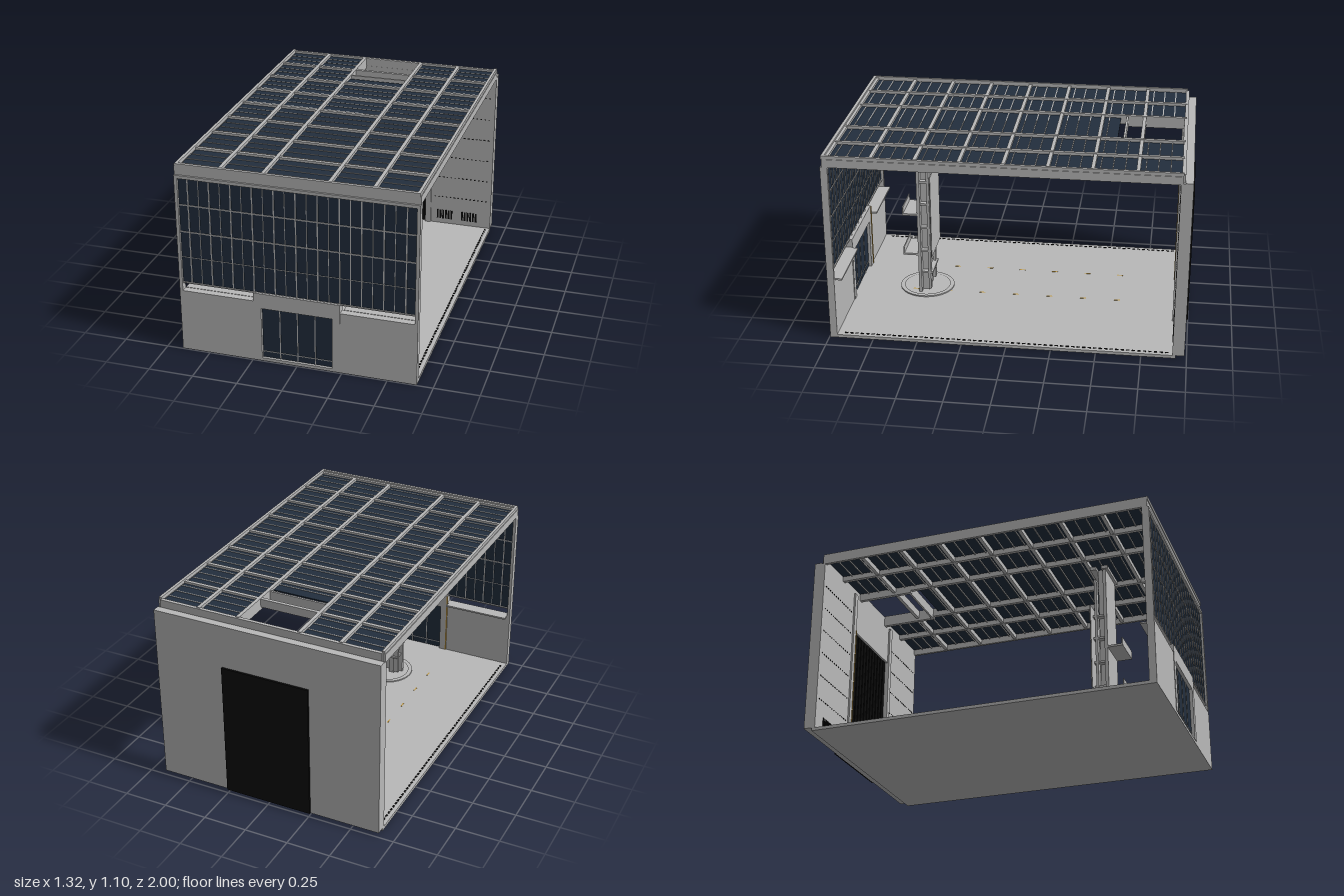
import * as THREE from 'three';

export function createModel() {
  const root = new THREE.Group();
  root.name = 'solarShelter';
  const mat = (name, color) => {
    const m = new THREE.MeshStandardMaterial({ color });
    m.name = name;
    return m;
  };
  const grey = mat('lightGrey', 0xb8b8b8);
  const navy = mat('navyPanel', 0x222e3d);
  const black = mat('black', 0x0a0a0a);
  const tan = mat('tan', 0xc09a48);

  const group = (name) => {
    const g = new THREE.Group();
    g.name = name;
    root.add(g);
    return g;
  };
  // Box given by its limits on each axis
  const box = (parent, name, m, x0, x1, y0, y1, z0, z1) => {
    const mesh = new THREE.Mesh(new THREE.BoxGeometry(x1 - x0, y1 - y0, z1 - z0), m);
    mesh.position.set((x0 + x1) / 2, (y0 + y1) / 2, (z0 + z1) / 2);
    mesh.name = name;
    parent.add(mesh);
    return mesh;
  };
  // The same box on both sides of x = 0
  const pair = (parent, name, m, x0, x1, y0, y1, z0, z1) => {
    box(parent, name + 'Left', m, x0, x1, y0, y1, z0, z1);
    box(parent, name + 'Right', m, -x1, -x0, y0, y1, z0, z1);
  };

  // Floor slab with drain slots along the sides and small tan markers
  const floor = group('floor');
  box(floor, 'floorSlab', grey, -0.66, 0.66, 0, 0.018, -0.94, 0.985);
  for (let i = 0; i < 60; i++) {
    const z = -0.9 + i * 0.0305;
    pair(floor, 'drainSlot', black, 0.628, 0.638, 0.016, 0.02, z, z + 0.018);
  }
  for (const x of [-0.26, 0.06]) {
    for (let i = 0; i < 7; i++) {
      const z = -0.6 + i * 0.2;
      box(floor, 'floorMarker', tan, x - 0.004, x + 0.004, 0.016, 0.0195, z, z + 0.035);
    }
  }

  // Front wall: low side walls, door portal, corner posts and a head rail
  const front = group('frontWall');
  box(front, 'frontSill', grey, -0.66, 0.66, 0, 0.018, 0.95, 0.995);
  pair(front, 'lowWall', grey, 0.24, 0.645, 0.018, 0.36, 0.955, 0.995);
  pair(front, 'cornerPost', grey, 0.642, 0.66, 0.018, 1.036, 0.955, 0.995);
  pair(front, 'doorJamb', grey, 0.197, 0.24, 0.018, 0.41, 0.95, 0.998);
  box(front, 'doorLintel', grey, -0.197, 0.197, 0.322, 0.41, 0.95, 0.998);
  box(front, 'headRail', grey, -0.645, 0.645, 1.018, 1.036, 0.955, 0.995);
  pair(front, 'innerSill', grey, 0.25, 0.64, 0.352, 0.362, 0.915, 0.955);
  box(front, 'doorTrim', tan, -0.243, -0.237, 0.02, 0.405, 0.945, 0.953);

  // Sliding front door with four leaves
  const door = group('frontDoor');
  box(door, 'doorLeaves', navy, -0.197, 0.197, 0.018, 0.322, 0.968, 0.98);
  for (const z of [0.965, 0.98]) {
    for (const x of [-0.098, 0, 0.098]) {
      box(door, 'leafDivider', grey, x - 0.0025, x + 0.0025, 0.018, 0.322, z, z + 0.003);
    }
    box(door, 'leafRail', grey, -0.197, 0.197, 0.052, 0.056, z, z + 0.003);
  }

  // Front screen of tall dark slats
  const screen = group('frontScreen');
  box(screen, 'screenPanel', navy, -0.642, 0.642, 0.41, 1.018, 0.972, 0.982);
  for (const z of [0.968, 0.982]) {
    for (let k = -10; k <= 10; k++) {
      const w = k % 2 ? 0.0015 : 0.003;
      box(screen, 'slatBar', grey, k * 0.059 - w, k * 0.059 + w, 0.41, 1.018, z, z + 0.004);
    }
    for (const y of [0.71, 0.865]) {
      box(screen, 'crossBar', grey, -0.642, 0.642, y - 0.003, y + 0.003, z, z + 0.004);
    }
    box(screen, 'thinCrossBar', grey, -0.642, 0.642, 0.559, 0.561, z, z + 0.004);
  }
  box(screen, 'screenBottomRail', grey, -0.642, 0.642, 0.404, 0.411, 0.965, 0.988);

  // Back wall: outer skin, inner panels, slatted doorway and outer door
  const back = group('backWall');
  box(back, 'outerSkin', grey, -0.66, 0.66, 0.018, 1.046, -0.988, -0.945);
  pair(back, 'innerPanel', grey, 0.25, 0.66, 0.018, 1.04, -0.945, -0.922);
  box(back, 'innerLintel', grey, -0.25, 0.25, 0.8, 1.04, -0.945, -0.922);
  pair(back, 'innerJamb', grey, 0.235, 0.27, 0.018, 1.036, -0.945, -0.912);
  box(back, 'jambTrim', tan, -0.243, -0.236, 0.018, 0.8, -0.93, -0.909);
  for (let i = 0; i < 12; i++) {
    const x = -0.232 + i * 0.039;
    box(back, 'doorSlat', black, x, x + 0.03, 0.018, 0.8, -0.945, -0.934);
  }
  box(back, 'outerDoor', black, -0.255, 0.255, 0.02, 0.8, -1, -0.988);
  for (let row = 0; row < 6; row++) {
    for (let i = 0; i < 14; i++) {
      const x = 0.29 + i * 0.0255, y = 0.2 + row * 0.14;
      pair(back, 'wallSlot', black, x, x + 0.01, y, y + 0.005, -0.923, -0.92);
    }
  }
  for (const x of [0.31, 0.47]) {
    for (let i = 0; i < 6; i++) {
      pair(back, 'ventSlot', black, x + i * 0.018, x + i * 0.018 + 0.011, 0.05, 0.11, -0.923, -0.919);
    }
  }

  // Roof frame: edge beams and a grid of bars
  const roof = group('roofFrame');
  pair(roof, 'sideBeam', grey, 0.645, 0.66, 1.036, 1.082, -0.935, 0.985);
  pair(roof, 'sideBeamCap', grey, 0.64, 0.656, 1.08, 1.1, -0.935, 0.99);
  box(roof, 'frontBeam', grey, -0.66, 0.66, 1.036, 1.082, 0.965, 0.985);
  box(roof, 'frontBeamCap', grey, -0.656, 0.656, 1.08, 1.1, 0.972, 0.99);
  const barX = [-0.65, -0.415, -0.18, 0.18, 0.415, 0.65];
  const barZ = (i) => -0.935 + i * 0.2375;
  for (const x of barX.slice(1, 5)) {
    box(roof, 'lengthBar', grey, x - 0.01, x + 0.01, 1.04, 1.093, -0.935, 0.965);
  }
  for (let i = 0; i <= 8; i++) {
    box(roof, 'crossBar', grey, -0.645, 0.645, 1.042, 1.09, barZ(i) - 0.01, barZ(i) + 0.01);
  }

  // Roof panels: four dark strips in each cell, split by thin bars
  const panels = group('roofPanels');
  const cuts = [0.01, 0.07, 0.135, 0.2, 0.2275];
  for (let r = 0; r < 8; r++) {
    for (let c = 0; c < 5; c++) {
      if (c === 2 && r === 0) continue;
      const x0 = barX[c] + 0.01, x1 = barX[c + 1] - 0.01;
      for (let s = 0; s < 4; s++) {
        const z0 = barZ(r) + cuts[s], z1 = barZ(r) + cuts[s + 1];
        if (c === 2 && z0 < -0.62) continue;
        box(panels, 'roofStrip', navy, x0, x1, 1.071, 1.077, z0, z1);
        if (s < 3) box(panels, 'stripBar', grey, x0, x1, 1.064, 1.08, z1 - 0.003, z1 + 0.003);
      }
    }
  }

  // Hatch frame around the roof opening
  const hatch = group('roofHatch');
  pair(hatch, 'hatchSide', grey, 0.17, 0.19, 1.026, 1.092, -0.93, -0.59);
  box(hatch, 'hatchFront', grey, -0.18, 0.18, 1.026, 1.088, -0.605, -0.593);
  box(hatch, 'hatchBack', grey, -0.18, 0.18, 1.026, 1.088, -0.935, -0.923);

  // Service column with round base ring, shelves and a display board
  const column = group('column');
  const ring = new THREE.Mesh(new THREE.RingGeometry(0.135, 0.16, 48), grey);
  ring.name = 'baseRing';
  ring.geometry.rotateX(-Math.PI / 2);
  ring.position.set(0, 0.025, 0.56);
  column.add(ring);
  const rim = new THREE.Mesh(new THREE.CylinderGeometry(0.16, 0.16, 0.007, 48, 1, true), grey);
  rim.name = 'baseRingEdge';
  rim.position.set(0, 0.0215, 0.56);
  column.add(rim);
  box(column, 'frontPlate', grey, -0.1, 0.1, 0.02, 1.02, 0.575, 0.593);
  pair(column, 'core', grey, 0.025, 0.06, 0.02, 1.036, 0.538, 0.576);
  pair(column, 'rearPost', grey, 0.06, 0.095, 0.04, 0.96, 0.52, 0.535);
  box(column, 'displayBoard', grey, -0.14, 0.14, 0.27, 0.78, 0.503, 0.509);
  for (const y of [0.14, 0.28, 0.43, 0.58, 0.72]) {
    box(column, 'bracket', grey, -0.09, 0.09, y, y + 0.012, 0.509, 0.578);
  }
  box(column, 'topCapFront', grey, -0.11, 0.11, 1.015, 1.036, 0.57, 0.608);
  box(column, 'topCapRear', grey, -0.11, 0.11, 1.015, 1.036, 0.505, 0.54);
  for (const y of [0.26, 0.515]) {
    box(column, 'shelf', grey, -0.1, 0.1, y, y + 0.012, 0.593, 0.68);
    box(column, 'shelfLip', grey, -0.1, 0.1, y, y + 0.05, 0.674, 0.68);
  }
  return root;
}
